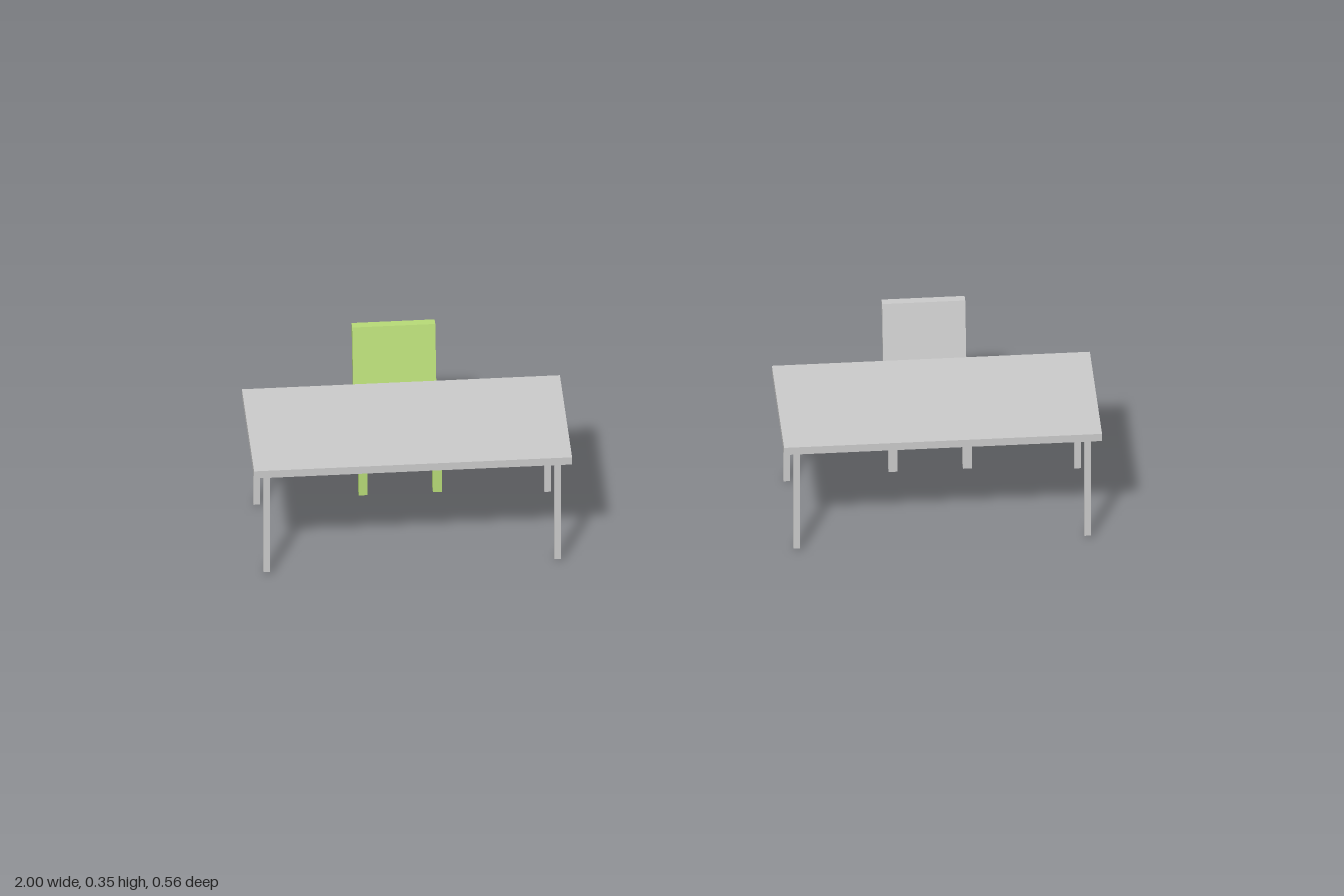
import * as THREE from 'three';

const grey = new THREE.MeshStandardMaterial({ color: 0xcccccc });
const green = new THREE.MeshStandardMaterial({ color: 0xb8dc78 });

// Box given by its lower and upper limits on each axis
function box(name, material, [x0, x1], [y0, y1], [z0, z1]) {
  const mesh = new THREE.Mesh(new THREE.BoxGeometry(x1 - x0, y1 - y0, z1 - z0), material);
  mesh.position.set((x0 + x1) / 2, (y0 + y1) / 2, (z0 + z1) / 2);
  mesh.name = name;
  return mesh;
}

function createTable() {
  const table = new THREE.Group();
  table.name = 'table';
  table.add(box('tableTop', grey, [-0.375, 0.375], [0.288, 0.308], [-0.075, 0.28]));
  // Four slim legs
  for (const x of [-0.343, 0.343]) {
    for (const z of [-0.0415, 0.2495]) {
      table.add(box('tableLeg', grey, [x - 0.008, x + 0.008], [0.008, 0.288], [z - 0.0057, z + 0.0057]));
    }
  }
  return table;
}

function createChair(material) {
  const chair = new THREE.Group();
  chair.name = 'chair';
  const half = 0.098;
  chair.add(box('seat', material, [-half, half], [0.184, 0.198], [-0.248, -0.068]));
  // Four square legs flush with the seat corners
  for (const side of [-1, 1]) {
    const x = side * (half - 0.0105);
    for (const z of [-0.0785, -0.238]) {
      chair.add(box('chairLeg', material, [x - 0.0105, x + 0.0105], [0, 0.184], [z - 0.0105, z + 0.0105]));
    }
  }
  // Backrest: a box sheared so it leans backwards
  const backrest = box('backrest', material, [-half, half], [0.198, 0.347], [-0.248, -0.228]);
  const lean = new THREE.Matrix4().makeShear(0, 0, 0, -0.031 / 0.149, 0, 0);
  backrest.geometry.applyMatrix4(lean);
  backrest.geometry.computeVertexNormals();
  backrest.position.z -= 0.0155;
  chair.add(backrest);
  return chair;
}

export function createModel() {
  const model = new THREE.Group();
  model.name = 'tablesWithChairs';
  // Two matching sets, one with a green chair
  for (const [x, material] of [[-0.625, green], [0.625, grey]]) {
    const set = new THREE.Group();
    set.name = 'tableSet';
    const chair = createChair(material);
    chair.position.x = -0.002;
    set.add(createTable(), chair);
    set.position.x = x;
    model.add(set);
  }
  return model;
}
